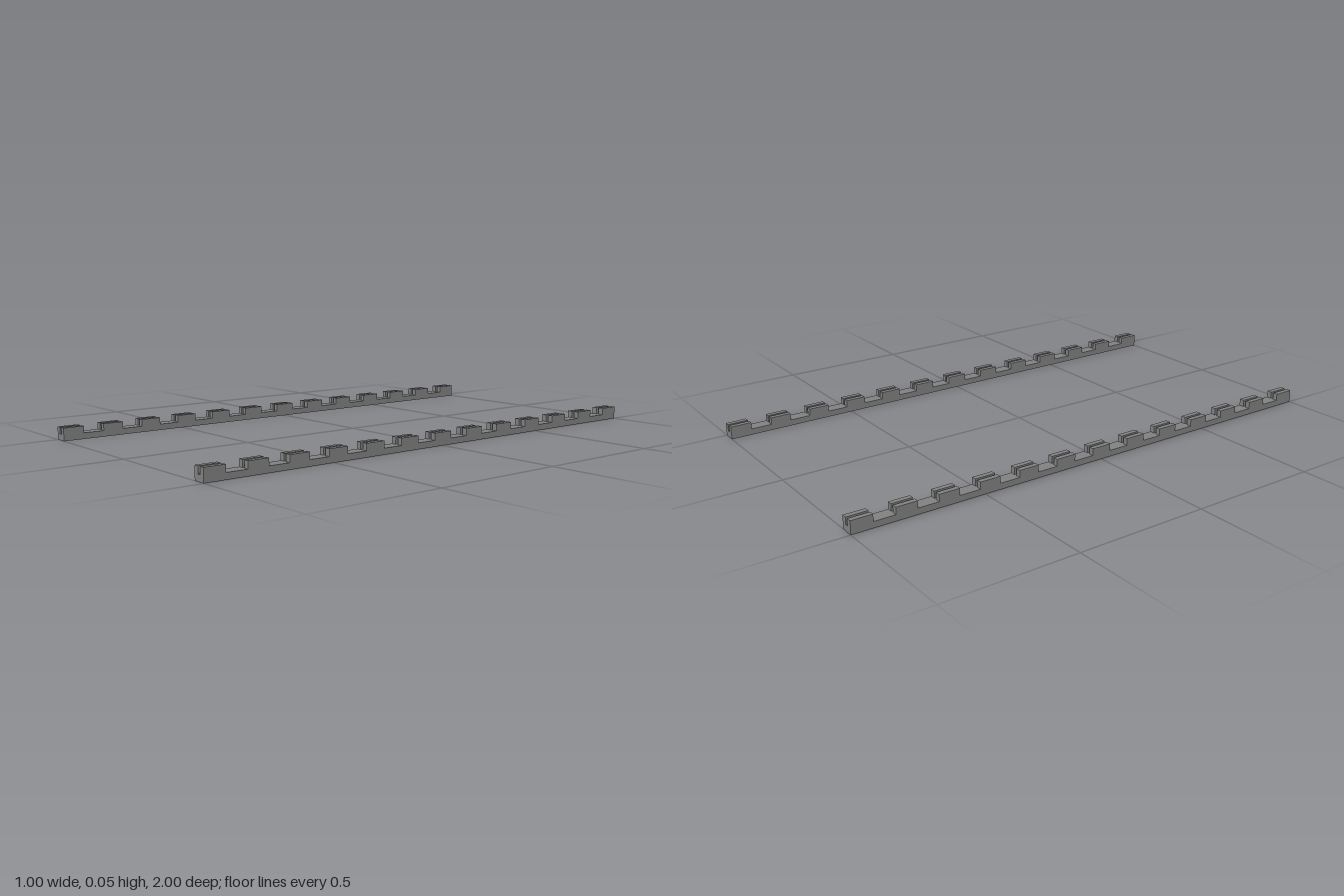
import * as THREE from 'three';

const LENGTH = 2, WIDTH = 0.05, HEIGHT = 0.049, BASE = 0.023;
const GROOVE = 0.011, TEETH = 13;
const TOOTH = LENGTH / (2 * TEETH - 1); // teeth and gaps are equally long

const material = new THREE.MeshStandardMaterial({ color: 0x808080, flatShading: true });

function addBox(parent, name, size, position) {
  const mesh = new THREE.Mesh(new THREE.BoxGeometry(...size), material);
  mesh.name = name;
  mesh.position.set(...position);
  parent.add(mesh);
}

// One rail: a flat bar carrying evenly spaced teeth, each split by a lengthwise groove
function createRail(name) {
  const rail = new THREE.Group();
  rail.name = name;
  addBox(rail, 'railBase', [WIDTH, BASE, LENGTH], [0, BASE / 2, 0]);

  const wall = (WIDTH - GROOVE) / 2;
  for (let i = 0; i < TEETH; i++) {
    const z = -LENGTH / 2 + TOOTH * (2 * i + 0.5);
    for (const side of [-1, 1]) {
      addBox(rail, 'toothWall', [wall, HEIGHT - BASE, TOOTH],
        [side * (GROOVE + wall) / 2, (HEIGHT + BASE) / 2, z]);
    }
  }
  return rail;
}

export function createModel() {
  const model = new THREE.Group();
  model.name = 'notchedRails';
  for (const side of [-1, 1]) {
    const rail = createRail(side > 0 ? 'leftRail' : 'rightRail');
    rail.position.x = side * (0.5 - WIDTH / 2);
    model.add(rail);
  }
  return model;
}
